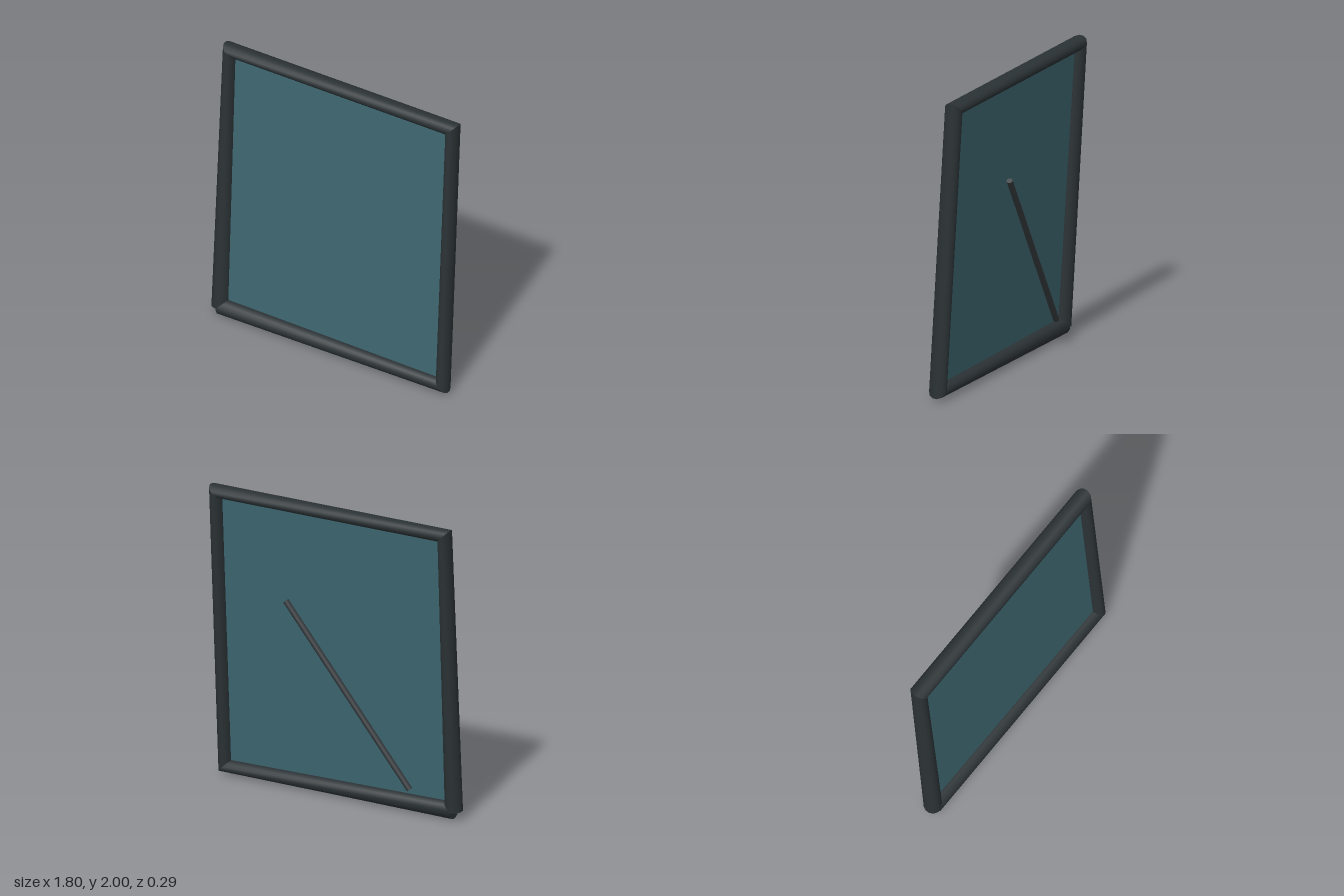
import * as THREE from 'three';

const SIDES = 12, RADIUS = 0.06;
const v = (x, y, z) => new THREE.Vector3(x, y, z);

// Ring of points round a centre, perpendicular to a direction
function ring(center, dir, normal) {
  const side = dir.clone().cross(normal).normalize();
  return Array.from({ length: SIDES }, (_, i) => {
    const a = ((i + 0.5) / SIDES) * Math.PI * 2;
    return center.clone()
      .addScaledVector(side, RADIUS * Math.cos(a))
      .addScaledVector(normal, RADIUS * Math.sin(a));
  });
}

// Smooth skin between two rings
function skin(a, b) {
  const geo = new THREE.BufferGeometry().setFromPoints([...a, ...b]);
  const index = [];
  for (let i = 0; i < SIDES; i++) {
    const j = (i + 1) % SIDES;
    index.push(i, j, SIDES + j, i, SIDES + j, SIDES + i);
  }
  geo.setIndex(index);
  geo.computeVertexNormals();
  return geo;
}

// Flat cap filling a ring
function cap(points) {
  const geo = new THREE.BufferGeometry().setFromPoints(points);
  const index = [];
  for (let i = 1; i < SIDES - 1; i++) index.push(0, i, i + 1);
  geo.setIndex(index);
  geo.computeVertexNormals();
  return geo;
}

export function createModel() {
  const group = new THREE.Group();
  const frameMat = new THREE.MeshStandardMaterial({ color: 0x2b3235, side: THREE.DoubleSide });
  const panelMat = new THREE.MeshStandardMaterial({ color: 0x3d6670, side: THREE.DoubleSide });
  const rodMat = new THREE.MeshStandardMaterial({ color: 0x35393c });
  const add = (geo, mat, name, parent = group) => {
    const mesh = new THREE.Mesh(geo, mat);
    mesh.name = name;
    parent.add(mesh);
    return mesh;
  };

  // Leaning frame: one open path that starts and ends at the lower right corner
  const yB = 0.06, yT = 1.96, zB = 0.09, zT = -0.025, xR = -0.845, xL = 0.855;
  const path = [v(xR, yB, zB), v(xR, yT, zT), v(xL, yT, zT), v(xL, yB, zB), v(xR, yB, zB)];
  const normal = v(0, zB - zT, yT - yB).normalize();
  const dirs = path.slice(1).map((p, i) => p.clone().sub(path[i]).normalize());

  // Rings at the corners lie on the mitre, so the bars narrow towards them
  const rings = path.map((p, i) => {
    const d = v(0, 0, 0);
    if (i > 0) d.add(dirs[i - 1]);
    if (i < dirs.length) d.add(dirs[i]);
    return ring(p, d.normalize(), normal);
  });

  const frame = new THREE.Group();
  frame.name = 'frame';
  group.add(frame);
  ['rightBar', 'topBar', 'leftBar', 'bottomBar'].forEach((name, i) =>
    add(skin(rings[i], rings[i + 1]), frameMat, name, frame));
  add(cap([...rings[0]].reverse()), frameMat, 'rightBarEnd', frame);
  add(cap(rings[4]), frameMat, 'bottomBarEnd', frame);

  // Thin panel on the centre plane of the frame
  const height = Math.hypot(yT - yB, zB - zT);
  const panel = add(new THREE.PlaneGeometry(xL - xR, height), panelMat, 'panel');
  panel.position.set((xL + xR) / 2, (yB + yT) / 2, (zB + zT) / 2);
  panel.rotation.x = -Math.atan2(zB - zT, yT - yB);

  // Slanted prop rod behind the panel
  const low = v(-0.575, 0.18, -0.01), high = v(0.28, 1.345, -0.125);
  const rodDir = high.clone().sub(low);
  const rod = add(new THREE.CylinderGeometry(0.02, 0.02, rodDir.length(), 12), rodMat, 'propRod');
  rod.position.copy(low).add(high).multiplyScalar(0.5);
  rod.quaternion.setFromUnitVectors(v(0, 1, 0), rodDir.normalize());

  return group;
}
